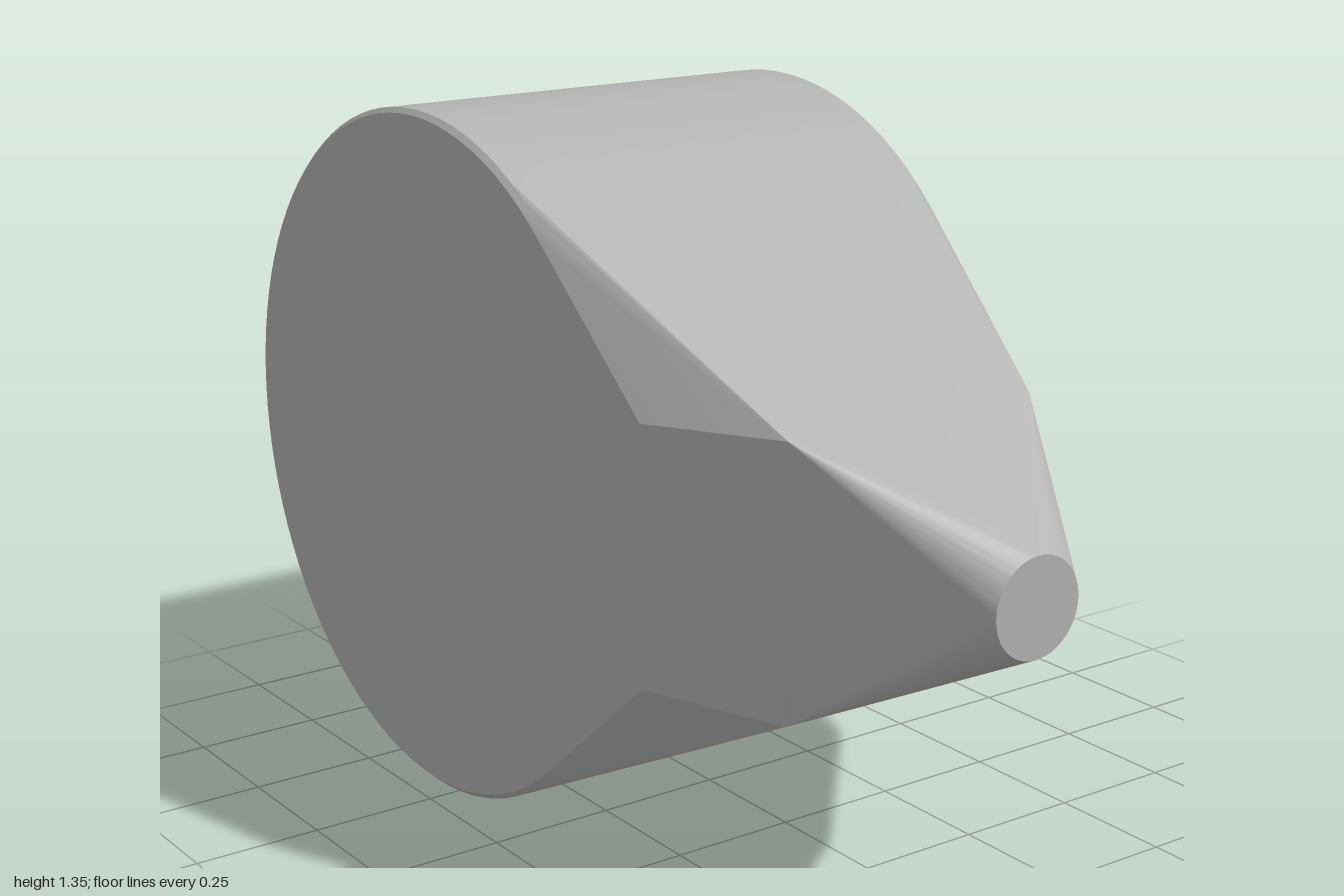
import * as THREE from 'three';
import { ConvexGeometry } from 'three/addons/geometries/ConvexGeometry.js';
import { toCreasedNormals } from 'three/addons/utils/BufferGeometryUtils.js';

const MID_Y = 0.675; // height of the drum axis and the tip
const DRUM_Z = -0.325;

// circle of points around the drum axis
function drumRing(x, radius, count = 96) {
  return Array.from({ length: count }, (_, i) => {
    const a = (i / count) * Math.PI * 2;
    return new THREE.Vector3(x, MID_Y + Math.sin(a) * radius, DRUM_Z + Math.cos(a) * radius);
  });
}

// small circle that ends the nose
function tipRing(x, z, radius, count = 64) {
  return Array.from({ length: count }, (_, i) => {
    const a = (i / count) * Math.PI * 2;
    return new THREE.Vector3(x + Math.cos(a) * radius, MID_Y + Math.sin(a) * radius, z);
  });
}

export function createModel() {
  const group = new THREE.Group();
  group.name = 'taperedDrum';
  const grey = new THREE.MeshStandardMaterial({ color: 0xb3b3b3 });
  grey.name = 'grey';

  const points = [
    // right end: thin bevel; left end: thin bevel and shallow raised face
    ...drumRing(-0.45, 0.665),
    ...drumRing(-0.44, 0.675),
    ...drumRing(0.41, 0.675),
    ...drumRing(0.42, 0.665),
    ...drumRing(0.45, 0.525),
    ...tipRing(-0.07, 1, 0.09),
  ];
  // corners where the wedge narrows, mirrored top and bottom
  for (const s of [-1, 1]) {
    points.push(
      new THREE.Vector3(-0.45, MID_Y + s * 0.24, 0.42),
      new THREE.Vector3(-0.335, MID_Y + s * 0.25, 0.68),
      new THREE.Vector3(0.195, MID_Y + s * 0.25, 0.68),
    );
  }

  // one solid skin over the drum, wedge and nose
  const body = new THREE.Mesh(toCreasedNormals(new ConvexGeometry(points), 0.2), grey);
  body.name = 'body';
  group.add(body);
  return group;
}
